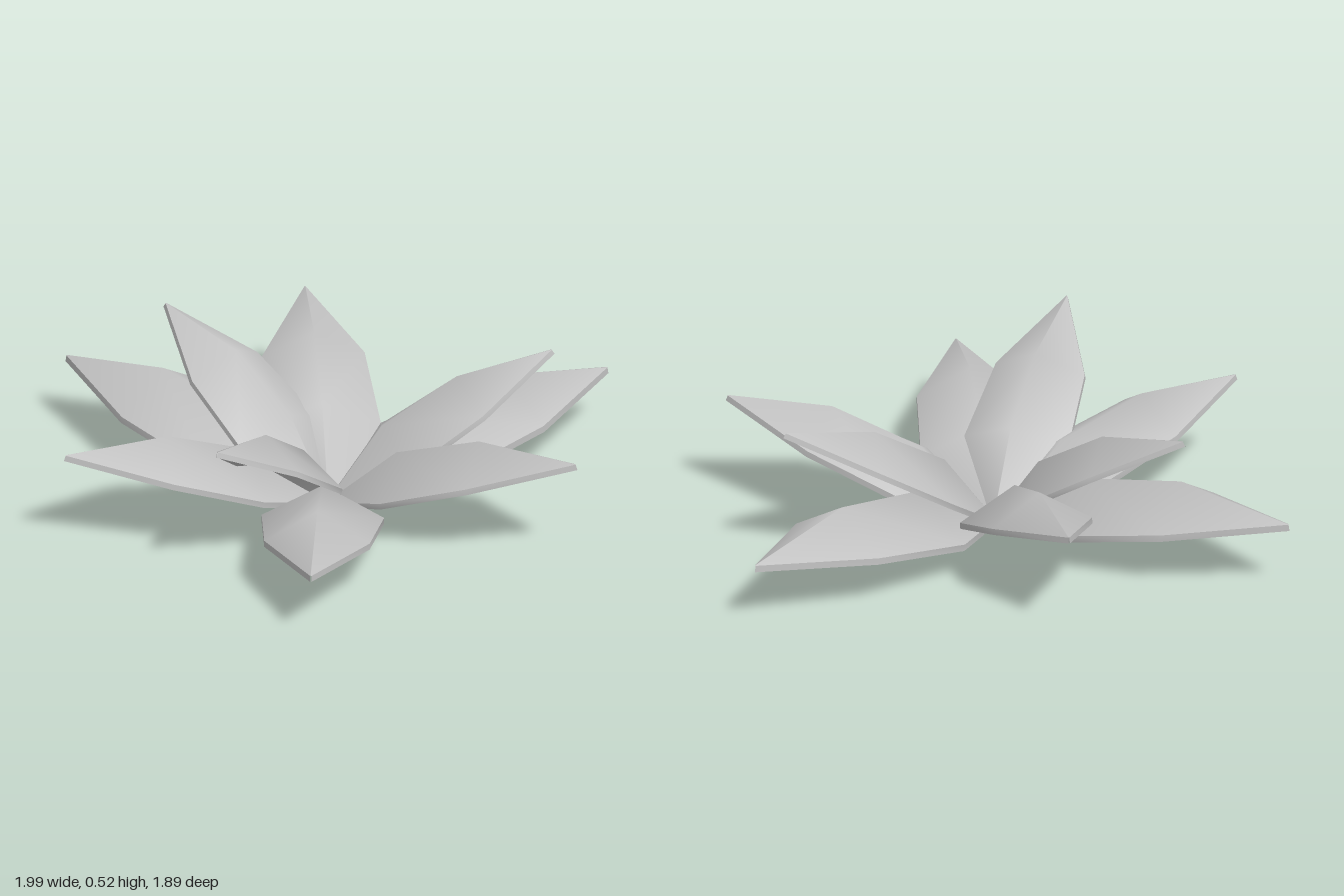
import * as THREE from 'three';
import { mergeGeometries } from 'three/addons/utils/BufferGeometryUtils.js';

// Leaf stations for unit length: position along, half width, rim height, ridge height
const STATIONS = [
  [0, 0.003, 0, 0.001],
  [0.33, 0.2, 0.032, 0.137],
  [0.66, 0.172, 0.028, 0.132],
  [1, 0.002, 0, 0.001],
];
const THICKNESS = 0.02;

// Smooth sheet through neighbouring lengthwise lines of points
function sheet(lines) {
  const n = lines[0].length;
  const index = [];
  for (let j = 0; j < lines.length - 1; j++) {
    for (let i = 0; i < n - 1; i++) {
      const a = j * n + i, b = a + n;
      index.push(a, a + 1, b, b, a + 1, b + 1);
    }
  }
  const geometry = new THREE.BufferGeometry();
  geometry.setAttribute('position', new THREE.Float32BufferAttribute(lines.flat(2), 3));
  geometry.setIndex(index);
  geometry.computeVertexNormals();
  return geometry;
}

// Ridged leaf with thickness, growing along +z from the origin
function leafGeometry() {
  const line = (side, lift) => STATIONS.map(([t, half, rim, ridge]) =>
    [side * half, (side ? rim : ridge) + lift, t]);
  const top = [-1, 0, 1].map((s) => line(s, THICKNESS));
  const bottom = [-1, 0, 1].map((s) => line(s, 0));
  return mergeGeometries([
    sheet(top),
    sheet([...bottom].reverse()),
    sheet([bottom[0], top[0]]),
    sheet([top[2], bottom[2]]),
  ]);
}

export function createModel() {
  const plant = new THREE.Group();
  plant.name = 'leafRosette';
  const leafGrey = new THREE.MeshStandardMaterial({ color: 0xc0c0c0 });
  leafGrey.name = 'leafGrey';
  const geometry = leafGeometry();
  const root = new THREE.Vector3(-0.12, 0, 0.11);

  // Tip positions of the three tiers
  const tiers = {
    lowerLeaf: [[0.99, 0.19, 0.18], [-0.4, 0.21, -0.95], [-0.77, 0.21, 0.86]],
    middleLeaf: [[0.38, 0.345, -0.67], [-1, 0.32, -0.18], [0.28, 0.34, 0.94]],
    upperLeaf: [[0.59, 0.47, 0.41], [-0.23, 0.48, -0.64], [-0.81, 0.5, 0.4]],
  };
  for (const [name, tips] of Object.entries(tiers)) {
    tips.forEach((tip, i) => {
      const d = new THREE.Vector3(...tip).sub(root);
      const leaf = new THREE.Mesh(geometry, leafGrey);
      leaf.name = name + (i + 1);
      leaf.position.copy(root);
      leaf.rotation.order = 'YXZ';
      leaf.rotation.y = Math.atan2(d.x, d.z);
      leaf.rotation.x = -Math.atan2(d.y, Math.hypot(d.x, d.z));
      leaf.scale.setScalar(d.length());
      plant.add(leaf);
    });
  }
  return plant;
}
